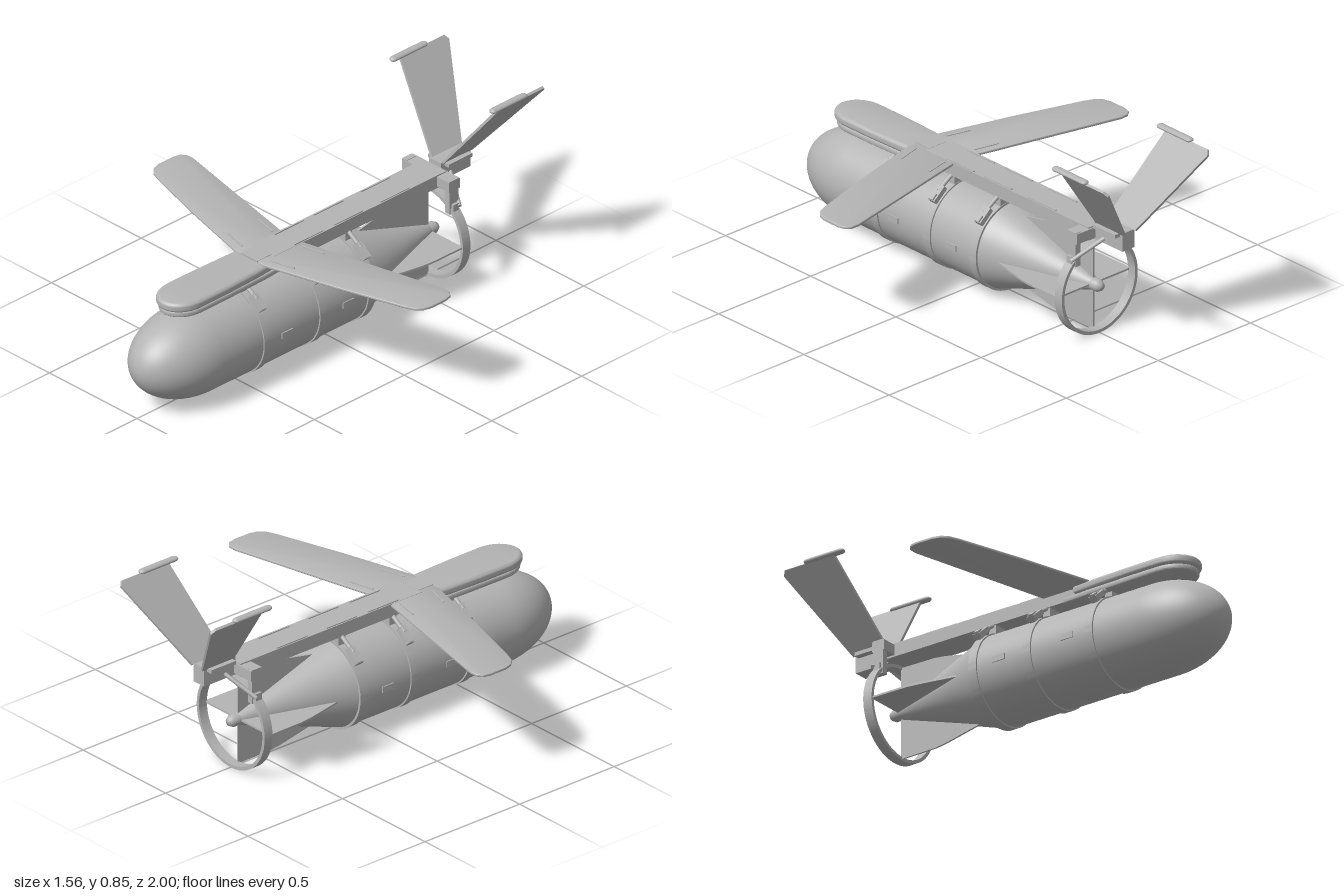
import * as THREE from 'three';
import { toCreasedNormals } from 'three/addons/utils/BufferGeometryUtils.js';

const AXIS = 0.21; // height of the body's long axis
const R = 0.19;

export function createModel() {
  const model = new THREE.Group();
  const grey = new THREE.MeshStandardMaterial({ color: 0xb4b4b4 });
  grey.name = 'plain grey';

  const add = (name, geo, x = 0, y = 0, z = 0) => {
    const m = new THREE.Mesh(geo, grey);
    m.name = name;
    m.position.set(x, y, z);
    model.add(m);
    return m;
  };
  const box = (name, w, h, d, x, y, z) => add(name, new THREE.BoxGeometry(w, h, d), x, y, z);

  // Profile of [radius, z] pairs turned about the long axis
  const turned = (name, pts) => {
    const geo = new THREE.LatheGeometry(pts.map(([r, z]) => new THREE.Vector2(r, z)), 64);
    return add(name, geo.rotateX(Math.PI / 2), 0, AXIS, 0);
  };

  // Flat hoop around the body
  const hoop = (name, outer, inner, z, width) => {
    const s = new THREE.Shape().absarc(0, 0, outer, 0, Math.PI * 2);
    s.holes.push(new THREE.Path().absarc(0, 0, inner, 0, Math.PI * 2, true));
    const geo = new THREE.ExtrudeGeometry(s, { depth: width, bevelEnabled: false, curveSegments: 64 });
    return add(name, toCreasedNormals(geo, 0.5), 0, AXIS, z - width / 2);
  };

  // Horizontal plate from [x, z] outline points, centred on its thickness
  const plate = (pts, thick, bevel = 0) => {
    const s = new THREE.Shape(pts.map(([x, z]) => new THREE.Vector2(x, -z)));
    const depth = thick - 2 * bevel;
    const geo = new THREE.ExtrudeGeometry(s, {
      depth, bevelEnabled: bevel > 0, bevelThickness: bevel, bevelSize: bevel,
      bevelOffset: -bevel, bevelSegments: 5,
    });
    return toCreasedNormals(geo.translate(0, 0, -depth / 2).rotateX(-Math.PI / 2), 0.6);
  };

  // Rod between two points
  const rod = (name, a, b, r) => {
    const va = new THREE.Vector3(...a), vb = new THREE.Vector3(...b);
    const dir = vb.clone().sub(va);
    const m = add(name, new THREE.CylinderGeometry(r, r, dir.length(), 10));
    m.position.copy(va.add(vb).multiplyScalar(0.5));
    m.quaternion.setFromUnitVectors(new THREE.Vector3(0, 1, 0), dir.normalize());
  };

  // Body: barrel with rounded nose, then tail cone and end boss
  const nose = [[R, -0.13], [R, 0.3]];
  for (let i = 0; i <= 20; i++) {
    const a = (i / 20) * Math.PI / 2;
    nose.push([i === 20 ? 0 : R * Math.cos(a), 0.7 + 0.3 * Math.sin(a)]);
  }
  turned('body', nose);
  turned('tailCone', [[0.026, -0.62], [R, -0.13]]);
  turned('tailBoss', [[0, -0.672], [0.016, -0.668], [0.026, -0.65], [0.026, -0.615]]);

  // Cruciform body fins and the ring around them
  const finOutline = [[0.02, -0.62], [0.2, -0.62], [0.198, -0.45], [0.192, -0.4], [0.155, -0.22], [0.02, -0.5]];
  for (let k = 0; k < 4; k++) {
    add('bodyFin', plate(finOutline, 0.008), 0, AXIS, 0).rotation.z = k * Math.PI / 2;
  }
  hoop('tailRing', 0.206, 0.192, -0.635, 0.042);

  // Straps with angled clamps and saddles below the spine
  for (const z of [0.46, 0.15, -0.12]) {
    hoop('strap', 0.196, 0.186, z, 0.04);
    box('saddle', 0.12, 0.05, 0.036, 0, 0.415, z);
    for (const s of [-1, 1]) {
      box('clamp', 0.075, 0.022, 0.038, s * 0.136, 0.375, z).rotation.z = -s * 0.72;
      box('clampLug', 0.03, 0.035, 0.024, s * 0.152, 0.362, z).rotation.z = -s * 0.72;
      rod('clampLink', [s * 0.13, 0.388, z], [s * 0.05, 0.44, z], 0.009);
    }
  }

  // Side access plates
  for (const s of [-1, 1]) {
    for (const z of [0.35, 0.01]) box('sidePlate', 0.008, 0.026, 0.06, s * 0.19, AXIS, z);
  }

  // Spine beam with its front cap and raised seam strips
  box('spine', 0.13, 0.058, 0.96, 0, 0.464, -0.18);
  box('spineCap', 0.09, 0.012, 0.08, 0, 0.488, 0.335);
  for (const s of [-1, 1]) {
    for (const z of [-0.38, -0.12, 0.1]) box('spineSeam', 0.008, 0.006, 0.16, s * 0.056, 0.494, z);
  }

  // Front fairing: two stacked, rounded layers
  const fairing = (half, front, back) => {
    const pts = [[-half * 0.85, back], [-half * 0.94, back + 0.12], [-half, 0.6]];
    for (let i = 0; i <= 20; i++) {
      const a = Math.PI - (i / 20) * Math.PI;
      pts.push([half * Math.cos(a), front - 0.12 + 0.12 * Math.sin(a)]);
    }
    pts.push([half, 0.6], [half * 0.94, back + 0.12], [half * 0.85, back]);
    return pts;
  };
  add('fairingTop', plate(fairing(0.1, 0.86, 0.3), 0.042, 0.018), 0, 0.466, 0);
  add('fairingBase', plate(fairing(0.095, 0.85, 0.25), 0.028, 0.012), 0, 0.434, 0);

  for (const s of [-1, 1]) {
    // Swept wing with rounded tip and root strips
    const wing = [[0, 0.37], [0.08, 0.375], [0.4, 0.29], [0.7, 0.2], [0.745, 0.182], [0.77, 0.155], [0.78, 0.12],
      [0.78, 0.04], [0.772, 0.008], [0.75, -0.01], [0.715, -0.012], [0.065, 0.135], [0, 0.25]];
    add('wing', plate(wing.map(([x, z]) => [s * x, z]), 0.012, 0.004), 0, 0.486, 0);
    box('wingFrontStrip', 0.11, 0.006, 0.008, s * 0.135, 0.492, 0.32).rotation.y = s * 0.26;
    box('wingRearStrip', 0.11, 0.006, 0.008, s * 0.135, 0.492, 0.155).rotation.y = s * 0.22;

    // Canted tail fin, measured along its span
    const tail = [[0, -0.67], [0.417, -0.74], [0.417, -0.985], [0.395, -1], [0, -0.835]];
    const fin = add('tailFin', plate(tail.map(([u, z]) => [s * u, z]), 0.011), s * 0.03, 0.51, 0);
    fin.rotation.z = s * Math.atan2(0.33, 0.255);

    // Flattened pod at the fin tip
    const pod = add('tipPod', new THREE.CapsuleGeometry(0.017, 0.166, 8, 16), s * 0.285, 0.845, -0.79);
    pod.geometry.rotateX(Math.PI / 2).scale(1, 0.6, 1);

    // Ring mount post, foot and diagonal brace
    box('mountPost', 0.026, 0.15, 0.05, s * 0.122, 0.415, -0.635);
    box('mountFoot', 0.045, 0.04, 0.03, s * 0.125, 0.365, -0.635);
    rod('mountBrace', [s * 0.15, 0.37, -0.65], [s * 0.03, 0.455, -0.715], 0.009);
  }

  // Crossbar of the ring mount and the tail fin block
  box('mountCrossbar', 0.27, 0.045, 0.06, 0, 0.465, -0.637);
  box('tailBlock', 0.066, 0.08, 0.165, 0, 0.474, -0.742);
  box('tailBlockPlate', 0.12, 0.016, 0.13, 0, 0.504, -0.745);

  return model;
}
